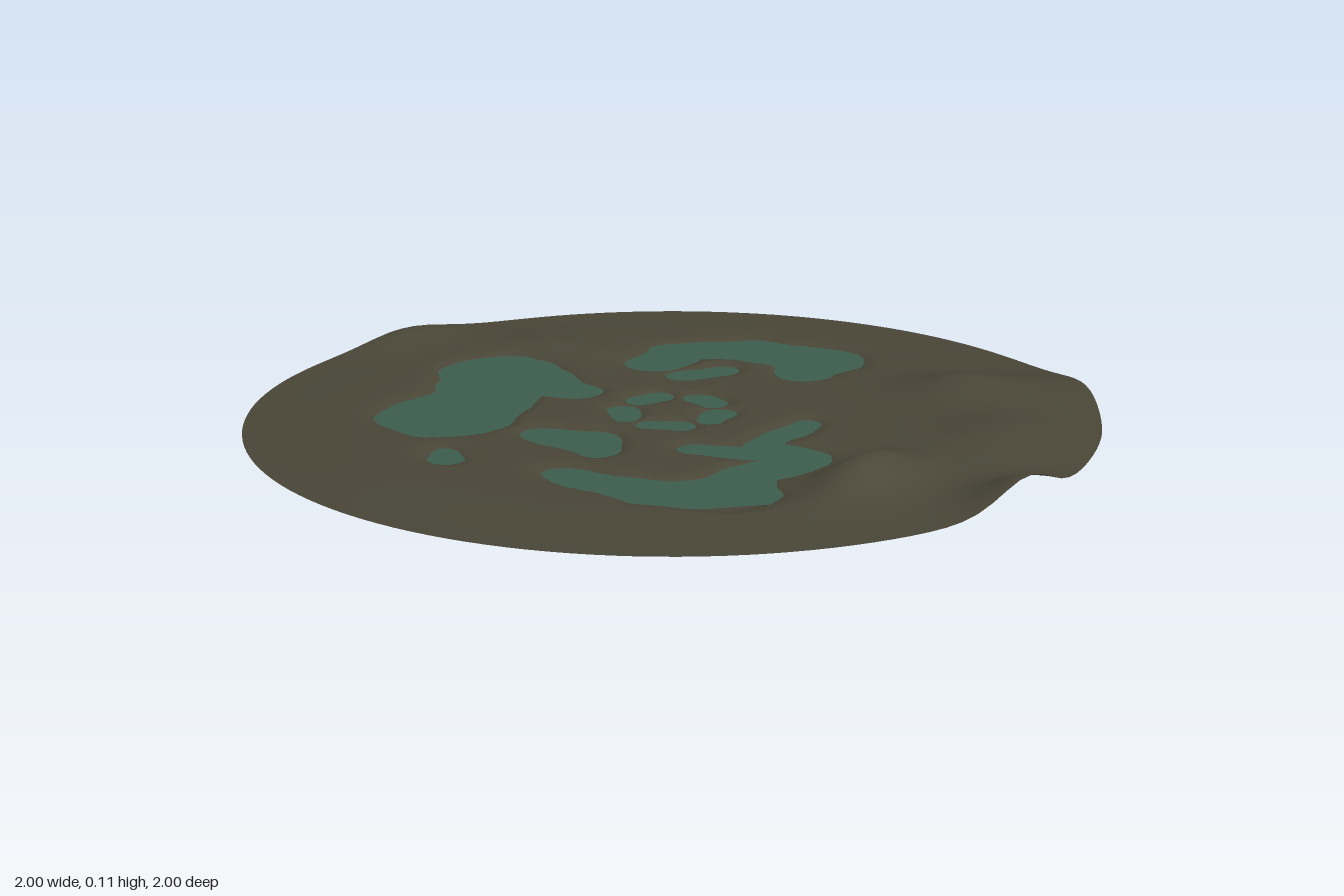
import * as THREE from 'three';

const WATER = 0.053;

// Pools: depth below the water, then a stroke of circles (x, z, radius) joined end to end
const pools = [
  [0.05, [-.3, .02, .07], [-.55, 0, .15], [-.43, .18, .13], [-.38, .37, .16]],
  [0.035, [-.3, -.3, .07], [-.33, -.45, .08], [-.2, -.57, .1], [0, -.6, .11], [.04, -.48, .08]],
  [0.02, [-.13, -.36, .04], [-.17, -.27, .045]],
  [0.028, [.31, -.11, .035], [.33, .08, .04], [.46, .12, .075], [.44, .28, .06], [.48, .41, .11], [.36, .5, .08], [.12, .53, .045]],
  [0.028, [.24, .2, .04], [.4, .14, .04]],
  [0.02, [-.12, .34, .045], [0, .31, .08], [.07, .35, .05]],
  [0.012, [-.19, .57, .03], [-.15, .61, .035]],
];

// Ring of puddles around the middle
for (let k = 0; k < 5; k++) {
  const at = (a) => [0.12 * Math.cos(a), 0.12 * Math.sin(a), 0.035];
  const start = k * 1.26 - 0.5;
  pools.push([0.01, at(start), at(start + 0.5)]);
}

// Mounds: x, z, height, spread in x, spread in z
const mounds = [
  [.66, .15, .058, .09, .15],
  [1, .06, .06, .1, .13],
  [.46, -.53, .042, .14, .12],
  [.68, -.68, .038, .2, .2],
  [.75, -.3, .03, .18, .15],
  [-.98, -.1, .028, .1, .16],
  [-.6, -.26, .016, .2, .09],
];

// Distance to a tapered stroke between two circles, negative inside
function strokeDistance(x, z, [ax, az, ar], [bx, bz, br]) {
  const ex = bx - ax, ez = bz - az;
  const t = THREE.MathUtils.clamp(((x - ax) * ex + (z - az) * ez) / (ex * ex + ez * ez), 0, 1);
  return Math.hypot(x - ax - ex * t, z - az - ez * t) - THREE.MathUtils.lerp(ar, br, t);
}

function groundHeight(x, z) {
  // Nearest shore, with a slight ripple so that banks look natural
  let shore = Infinity, depth = 0;
  for (const [d, ...circles] of pools) {
    for (let i = 1; i < circles.length; i++) {
      const s = strokeDistance(x, z, circles[i - 1], circles[i]);
      if (s < shore) { shore = s; depth = d; }
    }
  }
  shore += 0.008 * Math.sin(31 * x + 9 * z) * Math.sin(27 * z - 8 * x);
  if (shore < 0) return WATER - depth * Math.sin(Math.min(1, -shore / (depth * 2.6)) * Math.PI / 2);

  let hill = 0;
  for (const [mx, mz, h, sx, sz] of mounds) hill += h * Math.exp(-(((x - mx) / sx) ** 2) - ((z - mz) / sz) ** 2);
  const bank = 0.007 * Math.min(1, shore / 0.03);
  const fall = 0.009 * THREE.MathUtils.smoothstep(Math.hypot(x, z), 0.74, 1);
  return WATER + bank - fall + hill * THREE.MathUtils.smoothstep(shore, 0, 0.12);
}

export function createModel() {
  const group = new THREE.Group();
  const mud = new THREE.MeshStandardMaterial({ color: 0x4a4738, side: THREE.DoubleSide });
  mud.name = 'mud';
  const teal = new THREE.MeshStandardMaterial({ color: 0x3e5e4f, side: THREE.DoubleSide });
  teal.name = 'murky water';

  // Ground disc, sculpted by the height rule
  const ground = new THREE.RingGeometry(0.001, 1, 144, 84).rotateX(-Math.PI / 2);
  const pos = ground.attributes.position;
  for (let i = 0; i < pos.count; i++) pos.setY(i, groundHeight(pos.getX(i), pos.getZ(i)));
  ground.computeVertexNormals();
  const groundMesh = new THREE.Mesh(ground, mud);
  groundMesh.name = 'swampGround';

  // Flat water sheet showing through wherever the ground dips
  const water = new THREE.Mesh(new THREE.CircleGeometry(0.72, 32).rotateX(-Math.PI / 2), teal);
  water.name = 'waterSurface';
  water.position.y = WATER;

  group.add(groundMesh, water);
  return group;
}
